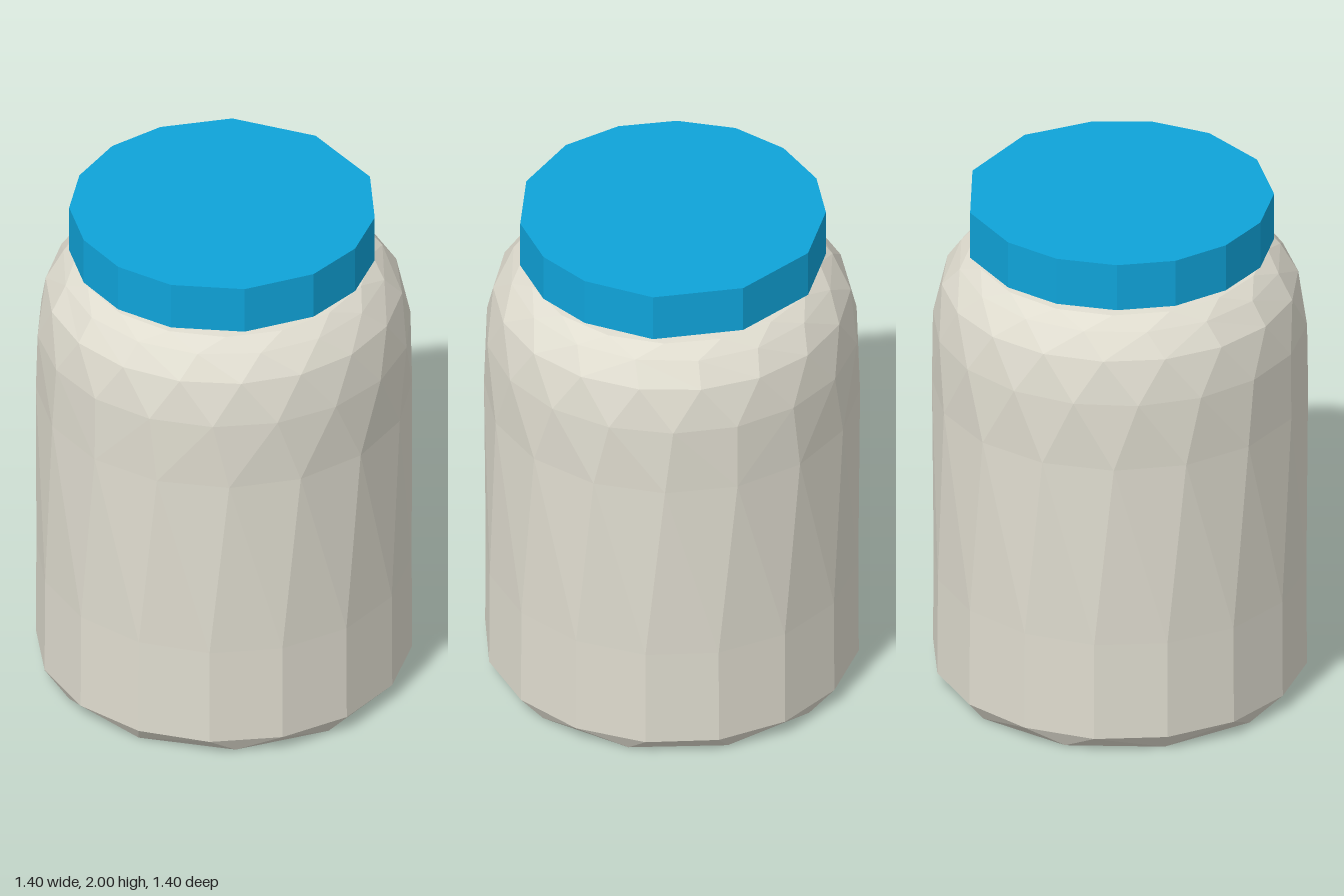
import * as THREE from 'three';

const TAU = Math.PI * 2;

// One horizontal ring of points; phase is in degrees, measured from +z towards +x
function ring(y, r, n, phase) {
  return Array.from({ length: n }, (_, i) => {
    const t = (phase * Math.PI) / 180 + (i / n) * TAU;
    return { t, p: [r * Math.sin(t), y, r * Math.cos(t)] };
  });
}

// Stitch two rings with any number of sides, advancing around whichever is behind
function stitch(low, high, out) {
  const at = (r, i) => r[i % r.length].p;
  const angle = (r, i) => r[i % r.length].t + Math.floor(i / r.length) * TAU;
  let i = 0, j = 0;
  while (i < low.length || j < high.length) {
    const moveLow = j >= high.length ||
      (i < low.length && angle(low, i + 1) <= angle(high, j + 1));
    if (moveLow) {
      out.push(...at(low, i), ...at(low, i + 1), ...at(high, j));
      i++;
    } else {
      out.push(...at(low, i), ...at(high, j + 1), ...at(high, j));
      j++;
    }
  }
}

function facetGeometry(positions) {
  const g = new THREE.BufferGeometry();
  g.setAttribute('position', new THREE.Float32BufferAttribute(positions, 3));
  g.computeVertexNormals();
  return g;
}

export function createModel() {
  const group = new THREE.Group();
  group.name = 'jar';
  const glass = new THREE.MeshStandardMaterial({ name: 'warm white', color: 0xdfdccf, flatShading: true });
  const blue = new THREE.MeshStandardMaterial({ name: 'blue', color: 0x0fa3d9, flatShading: true });
  const add = (name, geometry, material) => {
    const mesh = new THREE.Mesh(geometry, material);
    mesh.name = name;
    group.add(mesh);
    return mesh;
  };

  // Body: bevelled foot, straight wall, rounded shoulder
  const base = ring(0, 0.655, 11, 225 - 7 * (360 / 11));
  const shoulderTop = ring(1.775, 0.55, 16, 5);
  const bodyRings = [
    base,
    ring(0.065, 0.702, 16, 0),
    ring(0.46, 0.7, 16, 0),
    ring(1.2, 0.7, 16, 6),
    ring(1.47, 0.698, 18, -4),
    ring(1.64, 0.665, 18, 5),
    ring(1.73, 0.605, 16, -5),
    shoulderTop,
  ];
  const wall = [];
  for (let k = 0; k < bodyRings.length - 1; k++) stitch(bodyRings[k], bodyRings[k + 1], wall);
  add('body', facetGeometry(wall), glass);

  // Neck: recessed collar flaring up to the lid
  const neckRings = [shoulderTop, ring(1.78, 0.5, 14, 8), ring(1.812, 0.535, 14, -5)];
  const neck = [];
  for (let k = 0; k < 2; k++) stitch(neckRings[k], neckRings[k + 1], neck);
  add('neck', facetGeometry(neck), glass);

  // Blue underside
  const under = [];
  base.forEach((v, i) => under.push(0, 0, 0, ...base[(i + 1) % base.length].p, ...v.p));
  add('underside', facetGeometry(under), blue);

  // Lid: uneven fourteen-sided disc, outline given as x, z
  const outline = [
    [-0.06, -0.57], [0.16, -0.55], [0.4, -0.42], [0.56, -0.13], [0.535, 0.21],
    [0.37, 0.43], [0.18, 0.54], [-0.05, 0.57], [-0.31, 0.48], [-0.5, 0.28],
    [-0.57, 0.06], [-0.55, -0.16], [-0.45, -0.36], [-0.28, -0.5],
  ];
  const shape = new THREE.Shape(outline.map(([x, z]) => new THREE.Vector2(x, -z)));
  const lidGeometry = new THREE.ExtrudeGeometry(shape, { depth: 0.19, bevelEnabled: false });
  lidGeometry.rotateX(-Math.PI / 2);
  add('lid', lidGeometry, blue).position.y = 1.81;

  return group;
}
